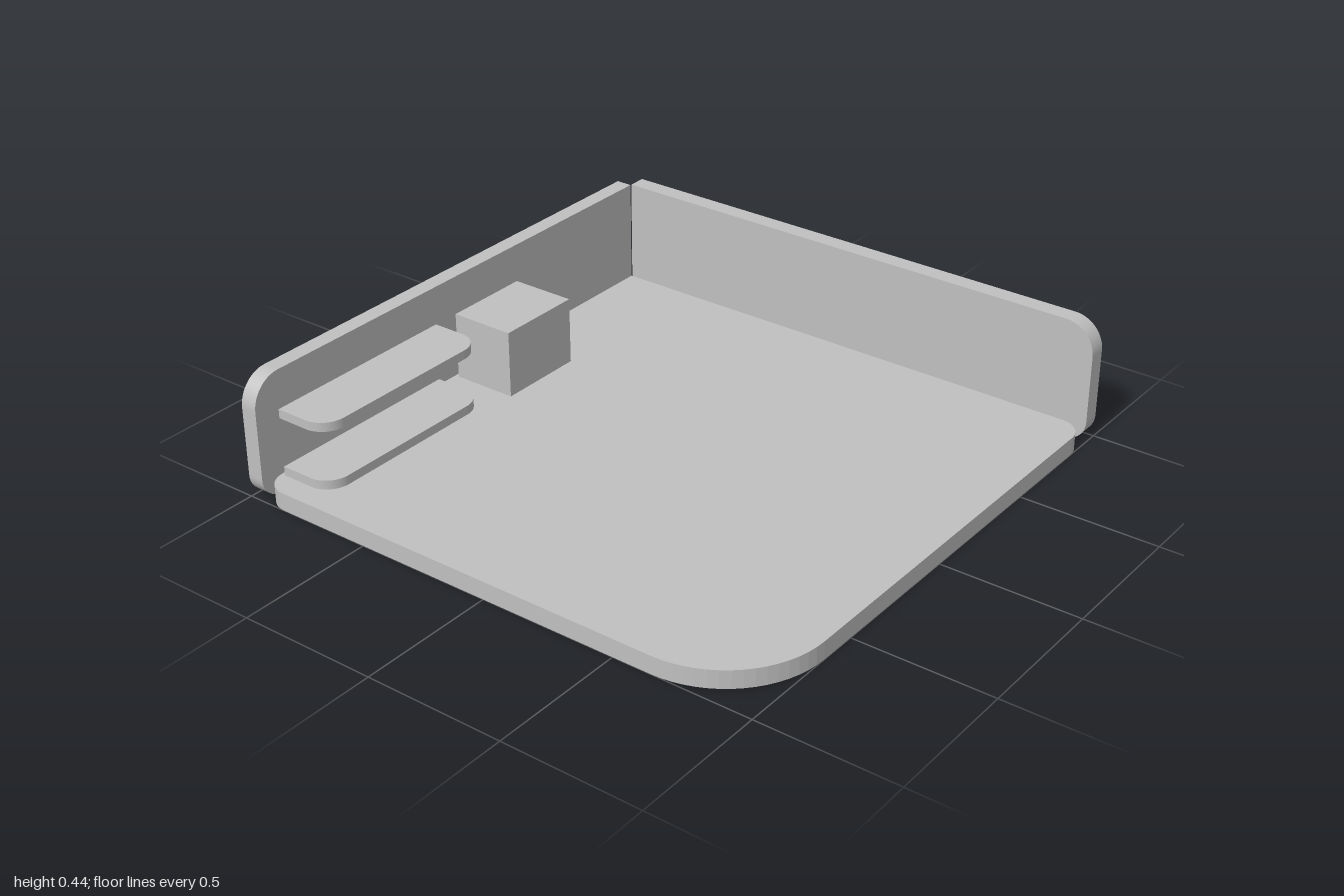
import * as THREE from 'three';

const grey = new THREE.MeshStandardMaterial({ color: 0xc0c0c0 });
grey.name = 'plain grey';

// Rectangle with its own radius at each corner: [lower left, lower right, upper right, upper left]
function roundedRect(x0, x1, y0, y1, radii) {
  const corners = [[x0, y0, 1, 1], [x1, y0, -1, 1], [x1, y1, -1, -1], [x0, y1, 1, -1]];
  const shape = new THREE.Shape();
  corners.forEach(([x, y, sx, sy], i) => {
    const r = radii[i];
    const start = Math.PI * (1 + i / 2);
    const cx = x + sx * r, cy = y + sy * r;
    const px = cx + r * Math.cos(start), py = cy + r * Math.sin(start);
    if (i === 0) shape.moveTo(px, py);
    else shape.lineTo(px, py);
    if (r > 0) shape.absarc(cx, cy, r, start, start + Math.PI / 2, false);
  });
  shape.closePath();
  return shape;
}

function panel(name, shape, depth) {
  const geometry = new THREE.ExtrudeGeometry(shape, { depth, bevelEnabled: false, curveSegments: 8 });
  const mesh = new THREE.Mesh(geometry, grey);
  mesh.name = name;
  return mesh;
}

// Horizontal plate between two heights
function plate(name, x0, x1, z0, z1, y, thickness, radii) {
  const mesh = panel(name, roundedRect(x0, x1, -z1, -z0, radii), thickness);
  mesh.geometry.rotateX(-Math.PI / 2);
  mesh.position.y = y;
  return mesh;
}

export function createModel() {
  const model = new THREE.Group();
  model.name = 'enclosure';

  // Floor with one large and two small rounded corners
  model.add(plate('floor', -1, 0.93, -0.94, 1, 0, 0.065, [0.36, 0.09, 0, 0.09]));

  // Back wall, rounded at its free end
  const backWall = panel('backWall', roundedRect(-1, 0.93, 0, 0.44, [0.08, 0, 0, 0.11]), 0.06);
  backWall.position.z = -1;
  model.add(backWall);

  // Side wall, rounded at its front end
  const sideWall = panel('leftWall', roundedRect(-0.94, 1, 0, 0.44, [0, 0.08, 0.11, 0]), 0.065);
  sideWall.geometry.rotateY(-Math.PI / 2);
  sideWall.position.x = 1;
  model.add(sideWall);

  // Two matching shelves
  [['lowerShelf', 0.065], ['upperShelf', 0.278]].forEach(([name, y]) => {
    model.add(plate(name, -0.915, -0.17, -0.925, -0.72, y, 0.033, [0.085, 0.085, 0, 0]));
  });

  // Block standing on the floor
  const block = new THREE.Mesh(new THREE.BoxGeometry(0.325, 0.245, 0.24), grey);
  block.name = 'block';
  block.position.set(0.0925, 0.1875, -0.805);
  model.add(block);

  return model;
}
